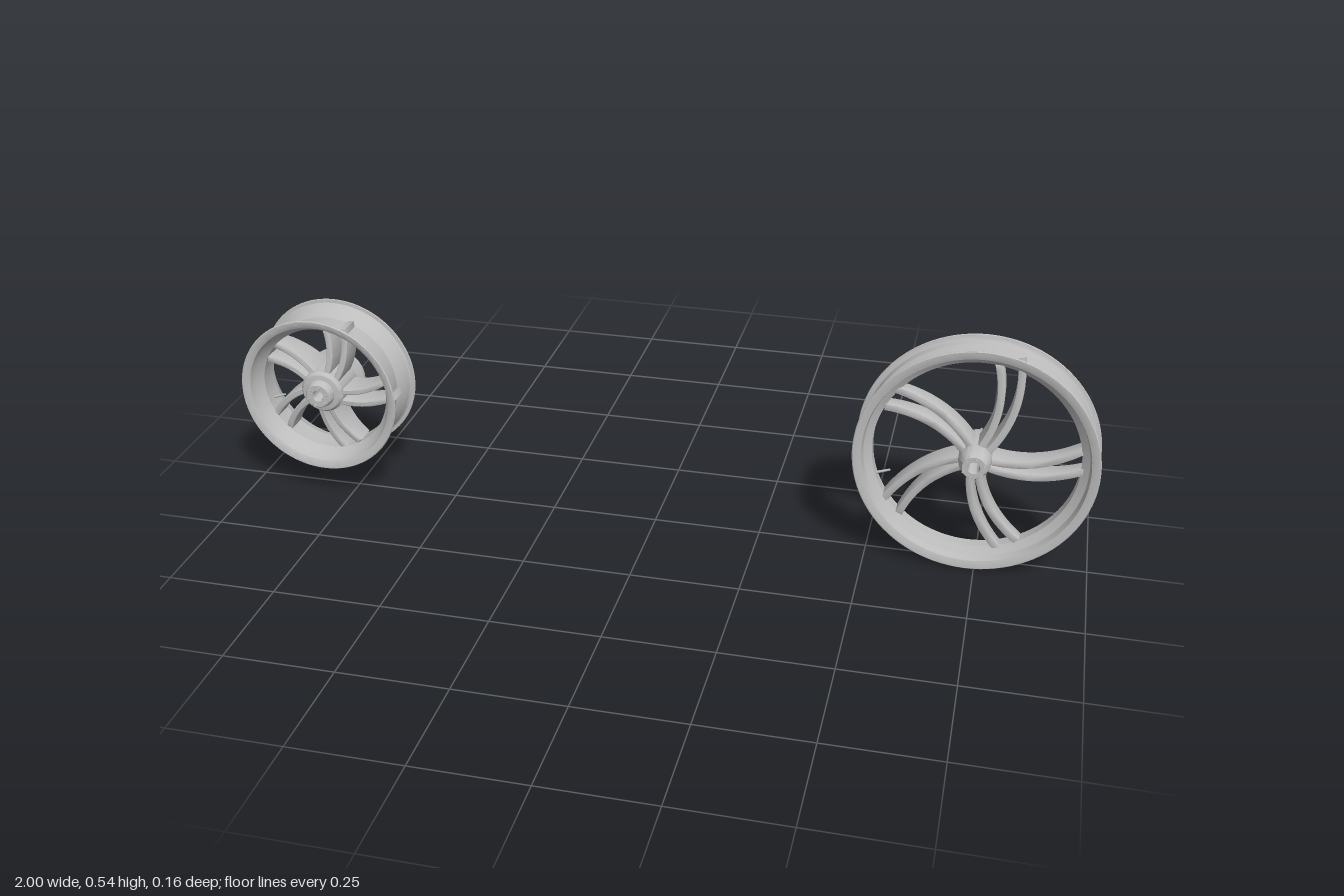
import * as THREE from 'three';
import { toCreasedNormals } from 'three/addons/utils/BufferGeometryUtils.js';

const alloy = new THREE.MeshStandardMaterial({ color: 0xbdbdbd });
alloy.name = 'cast alloy grey';

function addMesh(group, name, geometry) {
  const mesh = new THREE.Mesh(geometry, alloy);
  mesh.name = name;
  group.add(mesh);
  return mesh;
}

// Closed [radius, z] cross-section revolved about the z axle.
function revolve(section, segments) {
  const points = [...section, section[0]].map(([r, z]) => new THREE.Vector2(r, z));
  const geometry = new THREE.LatheGeometry(points, segments).rotateX(Math.PI / 2);
  return toCreasedNormals(geometry, 0.6);
}

// One curved rib: an offset bezier strip, extruded and tapered in depth.
function ribGeometry({ scale, gap, half, depth }, side) {
  const curve = new THREE.QuadraticBezierCurve(
    new THREE.Vector2(0.015, 0.022).multiplyScalar(scale),
    new THREE.Vector2(0.078, 0.115).multiplyScalar(scale),
    new THREE.Vector2(0.055, 0.232).multiplyScalar(scale));
  const right = [], left = [], steps = 18;
  for (let i = 0; i <= steps; i++) {
    const t = i / steps;
    const p = curve.getPoint(t), d = curve.getTangent(t);
    const normal = new THREE.Vector2(d.y, -d.x);
    const centre = side * THREE.MathUtils.lerp(gap[0], gap[1], t);
    right.push(p.clone().addScaledVector(normal, centre + half));
    left.push(p.clone().addScaledVector(normal, centre - half));
  }
  const bevel = 0.003;
  const geometry = new THREE.ExtrudeGeometry(new THREE.Shape([...right, ...left.reverse()]), {
    depth: 2 - 0.3, bevelThickness: 0.15, bevelSize: bevel, bevelOffset: -bevel, bevelSegments: 2,
  });
  geometry.translate(0, 0, -0.85);
  const pos = geometry.attributes.position;
  for (let i = 0; i < pos.count; i++) {
    const t = Math.min(1, Math.hypot(pos.getX(i), pos.getY(i)) / (0.235 * scale));
    pos.setZ(i, pos.getZ(i) * THREE.MathUtils.lerp(depth[0], depth[1], t));
  }
  return toCreasedNormals(geometry, 0.6);
}

function makeWheel(name, spec) {
  const wheel = new THREE.Group();
  wheel.name = name;
  addMesh(wheel, 'rim', revolve(spec.rim, 96));
  addMesh(wheel, 'hub', revolve(spec.hub, 40));

  // Five pairs of swept ribs
  const ribs = [-1, 1].map((side) => ribGeometry(spec.spoke, side));
  for (let i = 0; i < 5; i++) {
    const spoke = new THREE.Group();
    spoke.name = 'spoke';
    spoke.rotation.z = (i * Math.PI * 2) / 5;
    ribs.forEach((rib) => addMesh(spoke, 'spokeRib', rib));
    wheel.add(spoke);
  }

  // Ring of small bolts on each listed hub face
  const head = new THREE.CylinderGeometry(0.0032, 0.0032, 0.005, 6).rotateX(Math.PI / 2);
  const shank = new THREE.CylinderGeometry(0.0015, 0.0015, 0.014, 8).rotateX(Math.PI / 2);
  for (const z of spec.boltFaces) {
    for (let i = 0; i < 6; i++) {
      const a = (i * Math.PI) / 3 + 0.3;
      const x = 0.023 * Math.cos(a), y = 0.023 * Math.sin(a);
      addMesh(wheel, 'boltHead', head).position.set(x, y, z);
      addMesh(wheel, 'boltShank', shank).position.set(x, y, z - Math.sign(z) * 0.007);
    }
  }

  // Valve stem pointing in from the rim
  const valve = addMesh(wheel, 'valveStem', new THREE.CylinderGeometry(0.0025, 0.0035, 0.035, 10));
  const a = THREE.MathUtils.degToRad(199);
  valve.position.set(spec.valveRadius * Math.cos(a), spec.valveRadius * Math.sin(a), 0);
  valve.rotation.z = a + Math.PI / 2;
  wheel.position.set(...spec.position);
  return wheel;
}

export function createModel() {
  const model = new THREE.Group();
  model.name = 'wheelPair';

  // Mirror half a [radius, z] section: outer edge, then inner edge backwards
  const mirrored = (outer, inner) => [
    ...outer.map(([r, z]) => [r, -z]).reverse(), ...outer,
    ...inner, ...inner.map(([r, z]) => [r, -z]).reverse(),
  ];

  model.add(makeWheel('largeNarrowWheel', {
    position: [0.73, 0.27, 0],
    rim: mirrored(
      [[0.239, 0.011], [0.256, 0.023], [0.258, 0.04], [0.262, 0.043], [0.269, 0.044], [0.27, 0.047]],
      [[0.268, 0.049], [0.262, 0.049], [0.25, 0.045], [0.246, 0.026], [0.229, 0.014]]),
    hub: mirrored(
      [[0.037, 0.03], [0.034, 0.05], [0.028, 0.066], [0.026, 0.069]],
      [[0.014, 0.069], [0.012, 0.06]]),
    spoke: { scale: 1, gap: [0.009, 0.024], half: 0.0085, depth: [0.034, 0.017] },
    boltFaces: [0.077, -0.077],
    valveRadius: 0.214,
  }));

  model.add(makeWheel('smallWideWheel', {
    position: [-0.806, 0.267, 0],
    rim: mirrored(
      [[0.163, 0.026], [0.178, 0.044], [0.181, 0.06], [0.185, 0.064], [0.193, 0.065], [0.194, 0.067]],
      [[0.192, 0.07], [0.185, 0.07], [0.174, 0.064], [0.169, 0.044], [0.155, 0.026]]),
    hub: [[0.07, -0.056], [0.07, -0.046], [0.054, -0.04], [0.052, 0.04], [0.046, 0.048],
      [0.034, 0.05], [0.03, 0.066], [0.028, 0.068], [0.014, 0.068], [0.012, 0.06],
      [0.012, -0.05], [0.014, -0.056]],
    spoke: { scale: 0.68, gap: [0.011, 0.022], half: 0.008, depth: [0.044, 0.026] },
    boltFaces: [0.075],
    valveRadius: 0.142,
  }));

  return model;
}
